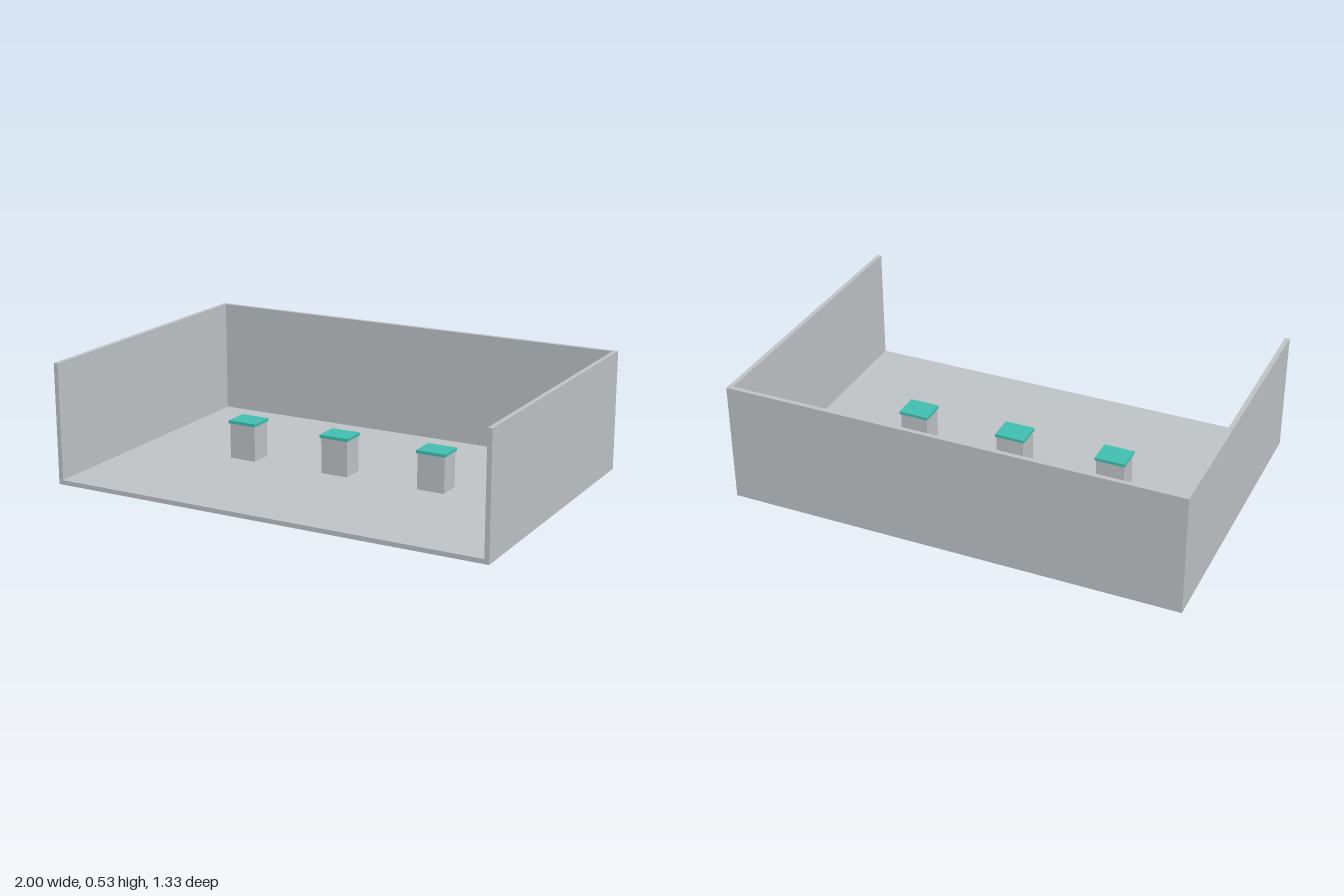
import * as THREE from 'three';

const W = 2, H = 0.533, D = 1.333, T = 0.02;

export function createModel() {
  const model = new THREE.Group();
  model.name = 'displayRoom';

  const grey = new THREE.MeshStandardMaterial({ color: 0xc0c4c8 });
  grey.name = 'light grey';
  const teal = new THREE.MeshStandardMaterial({ color: 0x40c0b0 });
  teal.name = 'teal';

  // Box placed by the centre of its base
  function box(name, material, [w, h, d], [x, y, z], parent = model) {
    const mesh = new THREE.Mesh(new THREE.BoxGeometry(w, h, d), material);
    mesh.name = name;
    mesh.position.set(x, y + h / 2, z);
    parent.add(mesh);
  }

  // Room shell, open at the front and top
  box('floor', grey, [W, T, D], [0, 0, 0]);
  box('backWall', grey, [W - 2 * T, H - T, T], [0, T, -D / 2 + T / 2]);
  for (const [name, side] of [['leftWall', 1], ['rightWall', -1]]) {
    box(name, grey, [T, H - T, D], [side * (W / 2 - T / 2), T, 0]);
  }

  // Row of pedestals with overhanging caps
  for (const x of [-0.46, 0, 0.46]) {
    const pedestal = new THREE.Group();
    pedestal.name = 'pedestal';
    pedestal.position.set(x, T, 0);
    box('pedestalBody', grey, [0.125, 0.16, 0.105], [0, 0, 0], pedestal);
    box('pedestalCap', teal, [0.135, 0.013, 0.115], [0, 0.16, 0], pedestal);
    model.add(pedestal);
  }

  return model;
}
